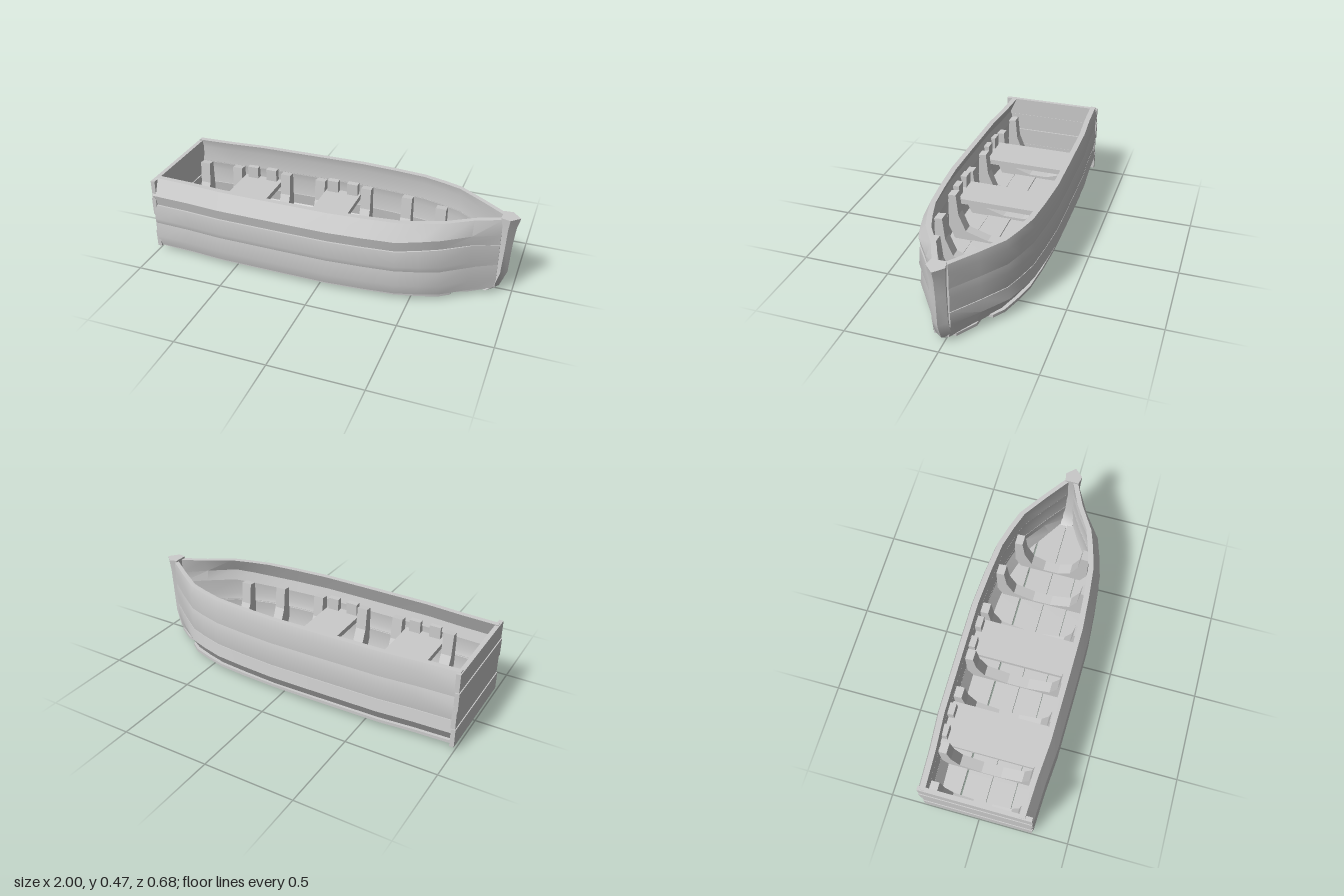
import * as THREE from 'three';
import { toCreasedNormals } from 'three/addons/utils/BufferGeometryUtils.js';

const material = new THREE.MeshStandardMaterial({ color: 0xcccccc, side: THREE.DoubleSide });

// hull outline: [x, half beam]
const outline = [[-0.99, 0.303], [-0.78, 0.312], [-0.58, 0.328], [-0.2, 0.333], [0.05, 0.335],
  [0.25, 0.322], [0.42, 0.305], [0.54, 0.272], [0.64, 0.238], [0.78, 0.138], [0.915, 0.045]];

function beamAt(x) {
  for (let i = 1; i < outline.length; i++) {
    const [x0, b0] = outline[i - 1], [x1, b1] = outline[i];
    if (x <= x1) return b0 + (b1 - b0) * (x - x0) / (x1 - x0);
  }
  return 0.045;
}

// joins closed rings of points into a capped solid
function loft(rings, crease = 0.45) {
  const pos = [], n = rings[0].length;
  const tri = (a, b, c) => pos.push(...a, ...b, ...c);
  for (let r = 0; r < rings.length - 1; r++) {
    const A = rings[r], B = rings[r + 1];
    for (let i = 0; i < n; i++) {
      const j = (i + 1) % n;
      tri(A[i], B[i], B[j]);
      tri(A[i], B[j], A[j]);
    }
  }
  const last = rings[rings.length - 1];
  const caps = THREE.ShapeUtils.triangulateShape(rings[0].map(p => flat(p, rings)), []);
  for (const [a, b, c] of caps) {
    tri(rings[0][a], rings[0][b], rings[0][c]);
    tri(last[a], last[c], last[b]);
  }
  // the enclosed volume tells whether the walls and caps face outward
  const orient = (from, to, sign) => {
    if (sign >= 0) return;
    for (let k = from; k < to; k += 9)
      for (let m = 0; m < 3; m++) [pos[k + 3 + m], pos[k + 6 + m]] = [pos[k + 6 + m], pos[k + 3 + m]];
  };
  let volume = 0;
  const a = new THREE.Vector3(), b = new THREE.Vector3(), c = new THREE.Vector3();
  for (let k = 0; k < pos.length; k += 9) {
    a.fromArray(pos, k); b.fromArray(pos, k + 3); c.fromArray(pos, k + 6);
    volume += a.dot(b.cross(c));
  }
  orient(0, pos.length, volume);
  const geometry = new THREE.BufferGeometry();
  geometry.setAttribute('position', new THREE.Float32BufferAttribute(pos, 3));
  return toCreasedNormals(geometry, crease);
}

// flattens a ring point along the loft's main direction
function flat(p, rings) {
  const alongX = Math.abs(rings[rings.length - 1][0][0] - rings[0][0][0]) > 0.3;
  return alongX ? new THREE.Vector2(p[1], p[2]) : new THREE.Vector2(p[2], p[0]);
}

function add(parent, name, geometry, x = 0, y = 0, z = 0) {
  const mesh = new THREE.Mesh(geometry, material);
  mesh.name = name;
  mesh.position.set(x, y, z);
  parent.add(mesh);
  return mesh;
}

// one side plank; profile: [offset from beam, y] going up
function strake(side, profile) {
  const rings = outline.map(([x, beam]) => {
    const fade = Math.min(1, beam / 0.2);
    const zc = x > 0.9 ? 0.012 : 0;
    const bump = side > 0 ? 0.032 * Math.max(0, 1 - Math.abs(x - 0.7) / 0.28) : 0;
    const at = (inset) => profile.map(([dz, y]) => [
      x,
      y + bump * Math.max(0, 1 - Math.abs(y - 0.33) / 0.15),
      zc + side * Math.max(0.004, beam + dz * fade - inset),
    ]);
    return [...at(0), ...at(0.03).reverse()];
  });
  return loft(rings);
}

// floor plank between two z limits, trimmed by the hull outline
function floorPlank(lo, hi, drop) {
  const rings = [];
  for (const x of [...outline.map(o => o[0]), 0.7, 0.84, 0.88].sort((p, q) => p - q)) {
    const b = beamAt(x) - 0.022;
    const z0 = Math.max(lo, -b), z1 = Math.min(hi, b);
    if (x > 0.89 || z1 - z0 < 0.004) break;
    const y = 0.03 - drop - 0.012 * Math.max(0, (x - 0.3) / 0.6);
    rings.push([[x, y, z0], [x, y, z1], [x, y + 0.017, z1], [x, y + 0.017, z0]]);
  }
  return loft(rings);
}

// U-shaped frame standing across the floor
function ribGeometry(h, width) {
  const half = [[h - 0.035, 0.04], [h, 0.12], [h, 0.32], [h - 0.045, 0.325], [h - 0.058, 0.2],
    [h - 0.1, 0.1], [h * 0.2, 0.06]];
  const points = [...half, ...half.map(([z, y]) => [-z, y]).reverse()];
  const shape = new THREE.Shape(points.map(([z, y]) => new THREE.Vector2(z, y)));
  const geometry = new THREE.ExtrudeGeometry(shape, { depth: width, bevelEnabled: false });
  return geometry.translate(0, 0, -width / 2).rotateY(Math.PI / 2);
}

export function createModel() {
  const boat = new THREE.Group();
  boat.name = 'rowingBoat';

  // overlapping side planks
  const hull = new THREE.Group();
  hull.name = 'hullSides';
  boat.add(hull);
  const left = [
    [[-0.014, 0.038], [0.002, 0.1], [-0.007, 0.187]],
    [[-0.008, 0.18], [0.003, 0.215], [-0.006, 0.302]],
    [[-0.016, 0.3], [-0.002, 0.362], [-0.045, 0.455]],
  ];
  const right = [
    [[-0.05, 0.03], [0.002, 0.11], [-0.008, 0.179]],
    [[-0.008, 0.183], [0.002, 0.27], [-0.008, 0.32]],
    [[-0.008, 0.315], [-0.002, 0.41], [-0.014, 0.458]],
  ];
  const levels = ['lower', 'middle', 'upper'];
  left.forEach((p, i) => add(hull, `${levels[i]}SidePlankLeft`, strake(1, p)));
  right.forEach((p, i) => add(hull, `${levels[i]}SidePlankRight`, strake(-1, p)));

  // floor planks
  [[-0.31, -0.134, 0], [-0.125, 0.013, 0.003], [0.016, 0.153, 0], [0.156, 0.32, 0.003]]
    .forEach(([lo, hi, drop]) => add(boat, 'floorPlank', floorPlank(lo, hi, drop)));

  // flat stern of four boards
  for (let i = 0; i < 4; i++) {
    add(boat, 'sternBoard', new THREE.BoxGeometry(0.024, 0.103, 0.604 - 0.006 * (i % 2)),
      -0.988 + 0.004 * (i % 2), 0.082 + i * 0.106, -0.003);
  }

  // bow post: [y of back, x of back, y of front, x of front, half width]
  const stem = [[0.018, 0.835, 0.0, 0.895, 0.047], [0.06, 0.885, 0.03, 0.93, 0.046],
    [0.14, 0.9, 0.125, 0.966, 0.042], [0.3, 0.91, 0.3, 0.974, 0.042],
    [0.4, 0.908, 0.4, 0.984, 0.044], [0.468, 0.905, 0.462, 1.0, 0.048]];
  const zc = 0.013;
  add(boat, 'bowPost', loft(stem.map(([yb, xb, yf, xf, w]) => {
    const xm = (xb + xf) / 2, ym = (yb + yf) / 2;
    return [[xb, yb, zc - w * 0.8], [xm, ym, zc - w], [xf, yf, zc], [xm, ym, zc + w], [xb, yb, zc + w * 0.8]];
  }), 0.9));

  // frames across the inside
  for (const x of [-0.942, -0.73, -0.42, -0.2, 0.085, 0.335, 0.545]) {
    add(boat, 'rib', ribGeometry(beamAt(x + 0.03) - 0.042, 0.06), x, 0, 0);
  }

  // benches with holding blocks at each end
  for (const [x, width] of [[-0.58, 0.24], [-0.065, 0.21]]) {
    const bench = new THREE.Group();
    bench.name = 'bench';
    boat.add(bench);
    add(bench, 'seat', new THREE.BoxGeometry(width, 0.03, 0.58), x, 0.245, 0);
    for (const side of [-1, 1]) {
      for (const dx of [-0.06, 0.06]) {
        add(bench, 'seatBlock', new THREE.BoxGeometry(0.065, 0.07, 0.035), x + dx, 0.295, side * 0.275);
      }
    }
  }
  return boat;
}
